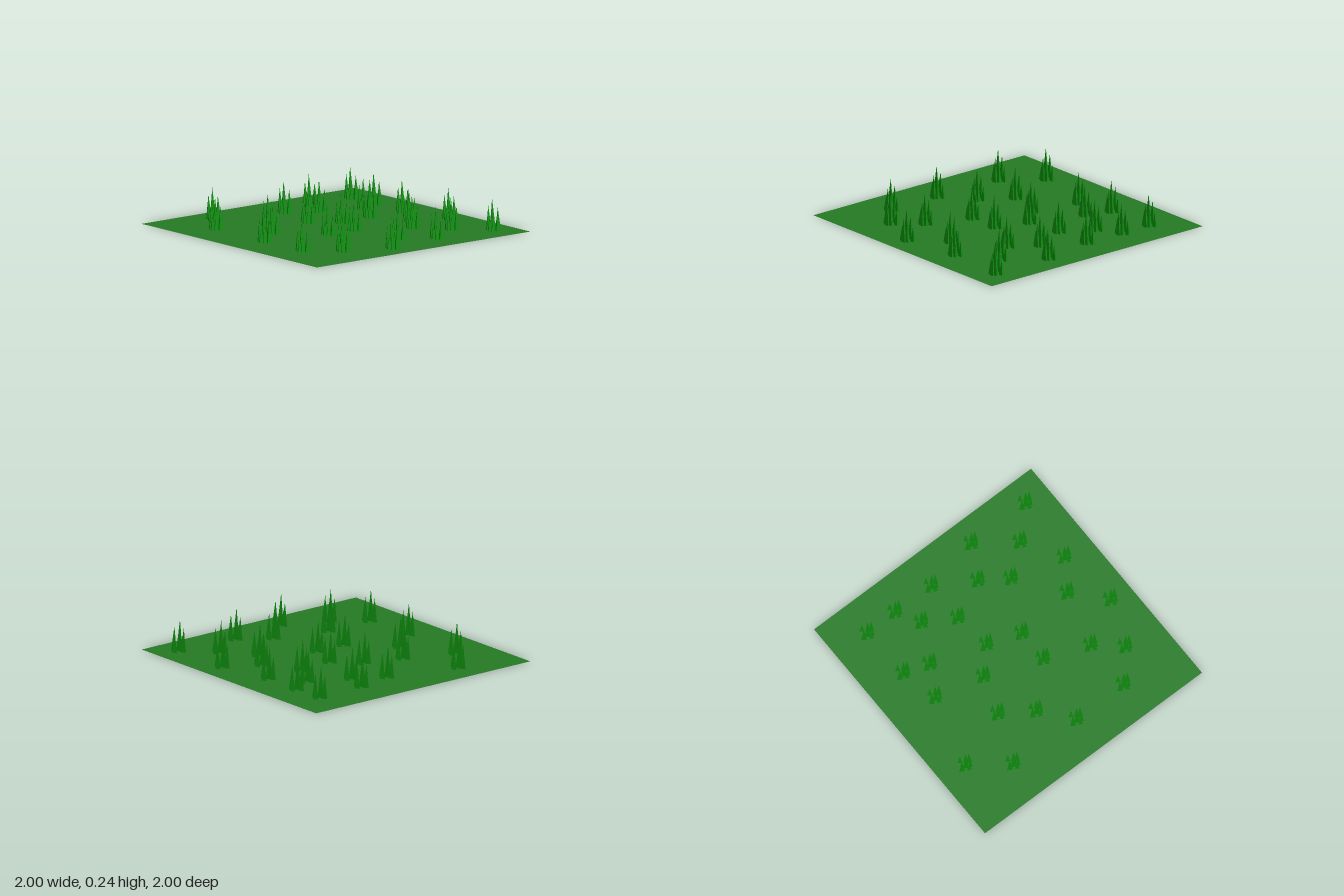
import * as THREE from 'three';

export function createModel() {
  const model = new THREE.Group();
  model.name = 'grassField';

  const groundGreen = new THREE.MeshStandardMaterial({ color: 0x247a24, side: THREE.DoubleSide });
  groundGreen.name = 'groundGreen';
  const bladeGreen = new THREE.MeshStandardMaterial({ color: 0x0f8f0f, flatShading: true });
  bladeGreen.name = 'bladeGreen';

  // Flat square of ground
  const ground = new THREE.Mesh(new THREE.PlaneGeometry(2, 2).rotateX(-Math.PI / 2), groundGreen);
  ground.name = 'ground';
  model.add(ground);

  // Three-sided blade with one edge pointing to -x, standing on y = 0
  const blade = new THREE.ConeGeometry(1, 1, 3).rotateY(-Math.PI / 2).translate(0, 0.5, 0);

  // Blades of one tuft: x, z, height, radius
  const blades = [
    [0, 0.015, 0.24, 0.028],
    [-0.04, 0.018, 0.18, 0.025],
    [0.042, -0.003, 0.18, 0.025],
    [0.024, -0.02, 0.15, 0.022],
    [-0.012, -0.042, 0.115, 0.022],
    [0.028, 0.03, 0.12, 0.02],
    [0.008, 0.045, 0.11, 0.021],
  ];

  function makeTuft() {
    const tuft = new THREE.Group();
    tuft.name = 'grassTuft';
    for (const [x, z, height, radius] of blades) {
      const mesh = new THREE.Mesh(blade, bladeGreen);
      mesh.name = 'grassBlade';
      mesh.position.set(x, 0, z);
      mesh.scale.set(radius, height, radius);
      tuft.add(mesh);
    }
    return tuft;
  }

  // Tuft positions on the ground: x, z
  const spots = [
    [-0.72, -0.74], [-0.46, -0.745], [-0.13, -0.74], [0.3, -0.82], [0.8, -0.82],
    [-0.36, -0.565], [0.16, -0.565], [0.585, -0.61], [-0.13, -0.43], [0.36, -0.43],
    [0.765, -0.32], [-0.705, -0.34], [-0.51, -0.275], [-0.095, -0.14], [-0.64, -0.05],
    [0.16, -0.05], [0.61, -0.09], [-0.265, 0.04], [0.825, 0.145], [0.16, 0.2],
    [-0.36, 0.33], [0.495, 0.33], [-0.79, 0.495], [-0.13, 0.485], [0.685, 0.495],
    [-0.51, 0.7], [0.06, 0.715], [0.495, 0.715],
  ];
  for (const [x, z] of spots) {
    const tuft = makeTuft();
    tuft.position.set(x, 0, z);
    model.add(tuft);
  }

  return model;
}
